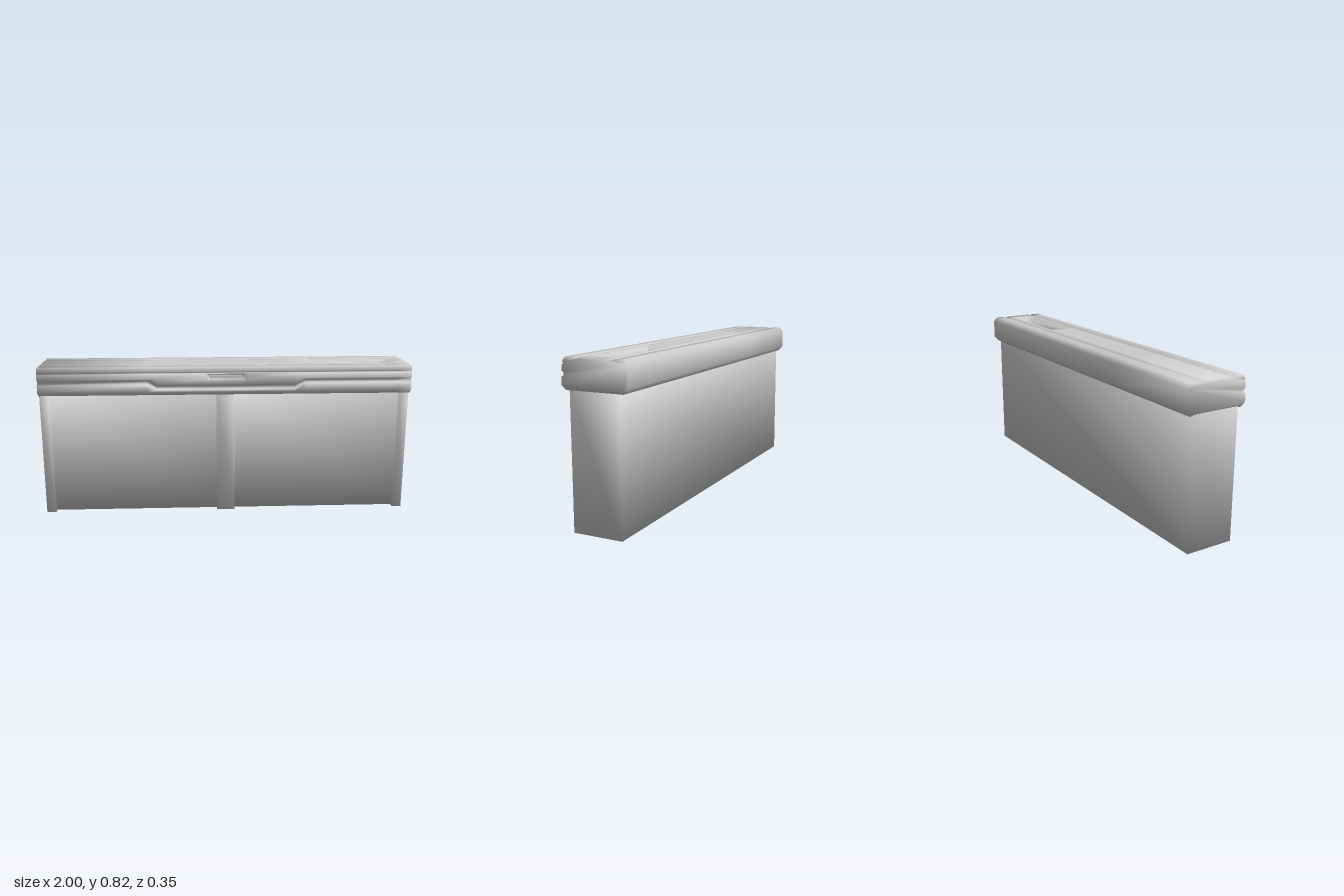
import * as THREE from 'three';
import { mergeVertices } from 'three/addons/utils/BufferGeometryUtils.js';

const grey = new THREE.MeshStandardMaterial({ color: 0xcccccc });

// Smooth normals over every shared vertex, each face weighted by its corner angle
function smooth(g) {
  const pos = g.attributes.position;
  const normals = Array.from({ length: pos.count }, () => new THREE.Vector3());
  const face = new THREE.Triangle();
  const normal = new THREE.Vector3();
  for (let i = 0; i < g.index.count; i += 3) {
    const ids = [0, 1, 2].map((k) => g.index.getX(i + k));
    face.setFromAttributeAndIndices(pos, ...ids);
    face.getNormal(normal);
    const p = [face.a, face.b, face.c];
    ids.forEach((id, k) => {
      const u = p[(k + 1) % 3].clone().sub(p[k]);
      const v = p[(k + 2) % 3].clone().sub(p[k]);
      normals[id].addScaledVector(normal, u.angleTo(v));
    });
  }
  const flat = normals.flatMap((v) => v.normalize().toArray());
  g.setAttribute('normal', new THREE.Float32BufferAttribute(flat, 3));
  return g;
}

// Loft closed [z, y] sections (front, over the top, to the back) along x, with end caps
function loft(stations, section) {
  const pos = [], index = [];
  const rings = stations.map(section);
  const n = rings[0].length;
  rings.forEach((ring, i) => ring.forEach(([z, y]) => pos.push(stations[i].x, y, z)));
  for (let i = 0; i < rings.length - 1; i++) {
    for (let j = 0; j < n; j++) {
      const k = (j + 1) % n;
      const a = i * n + j, b = a + n, c = (i + 1) * n + k, d = i * n + k;
      index.push(a, b, c, a, c, d);
    }
  }
  const last = (rings.length - 1) * n;
  const cap = (ring) => THREE.ShapeUtils.triangulateShape(
    [...ring].reverse().map(([z, y]) => new THREE.Vector2(-z, y)), []);
  cap(rings[0]).forEach(([a, b, c]) => index.push(n - 1 - a, n - 1 - c, n - 1 - b));
  cap(rings[rings.length - 1]).forEach((t) => index.push(...t.map((v) => last + n - 1 - v)));
  const g = new THREE.BufferGeometry();
  g.setAttribute('position', new THREE.Float32BufferAttribute(pos, 3));
  g.setIndex(index);
  return smooth(g);
}

// Section of the head: stepped groove in front, two channels and a pocket on top
function headSection({ drop = 0, latch = 0, pocket = 0, slot = 0 }) {
  const top = 0.82;
  const g = 0.755 - drop;
  return [
    [0.15, 0.67], [0.173, 0.69],
    // groove that steps down towards the middle
    [0.173, g - 0.025], [0.16, g - 0.02], [0.16, g - 0.005], [0.17, g],
    // latch recess
    [0.17, 0.76], [0.17 - latch, 0.761], [0.17 - latch, 0.785], [0.168, 0.786],
    // thin seam and front chamfer
    [0.162, 0.789], [0.162, 0.794], [0.168, 0.798], [0.15, top],
    // front channel
    [0.1, top], [0.097, top - 0.006], [0.078, top - 0.006], [0.075, top],
    // pocket with inner slot
    [0.062, top], [0.052, top - pocket], [0.025, top - pocket], [0.023, top - pocket - slot],
    [-0.023, top - pocket - slot], [-0.025, top - pocket], [-0.052, top - pocket], [-0.062, top],
    // back channel
    [-0.075, top], [-0.078, top - 0.006], [-0.102, top - 0.006], [-0.105, top],
    // chamfered back
    [-0.15, top], [-0.173, 0.798], [-0.173, 0.695], [-0.15, 0.67],
  ];
}

export function createModel() {
  const group = new THREE.Group();
  const add = (name, geometry) => {
    const mesh = new THREE.Mesh(geometry, grey);
    mesh.name = name;
    group.add(mesh);
    return mesh;
  };

  // Body: plan outline with three shallow posts in front, extruded upwards and smoothed
  const front = 0.13, panel = 0.095;
  const plan = [
    [-1, -0.13], [-1, front], [-0.95, front], [-0.95, panel], [-0.05, panel], [-0.05, front],
    [0.05, front], [0.05, panel], [0.95, panel], [0.95, front], [1, front], [1, -0.13],
  ];
  const shape = new THREE.Shape(plan.map(([x, z]) => new THREE.Vector2(x, -z)));
  const walls = new THREE.ExtrudeGeometry(shape, { depth: 0.675, bevelEnabled: false });
  walls.rotateX(-Math.PI / 2).deleteAttribute('normal').deleteAttribute('uv');
  add('body', smooth(mergeVertices(walls)));

  // Head: one long loft, its features switched on and off along x
  const d = 0.03, p = 0.012, l = 0.018;
  add('head', loft([
    { x: -1 }, { x: -0.42 }, { x: -0.37, drop: d },
    { x: -0.1, drop: d }, { x: -0.099, drop: d, latch: l },
    { x: 0.099, drop: d, latch: l }, { x: 0.1, drop: d },
    { x: 0.37, drop: d }, { x: 0.42 }, { x: 0.44, pocket: p },
    { x: 0.475, pocket: p }, { x: 0.477, pocket: p, slot: 0.012 },
    { x: 0.878, pocket: p, slot: 0.012 }, { x: 0.88, pocket: p },
    { x: 0.905, pocket: p }, { x: 0.925 }, { x: 1 },
  ], headSection));

  // Latch tab set in the front recess
  add('latchTab', new THREE.BoxGeometry(0.17, 0.012, 0.016)).position.set(0, 0.768, 0.158);

  return group;
}
